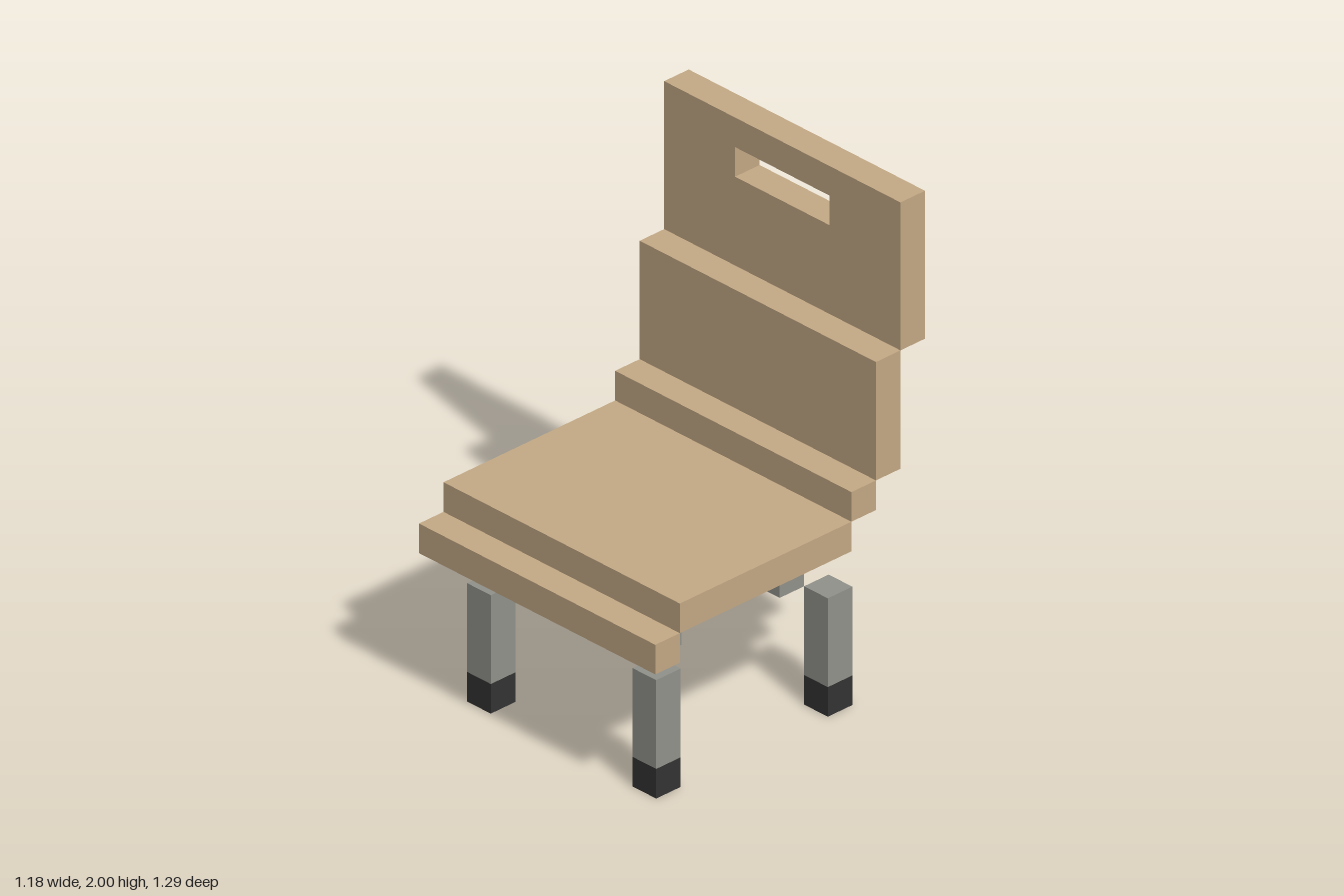
import * as THREE from 'three';

const U = 2 / 17; // one block: the chair is 17 blocks tall

const wood = new THREE.MeshStandardMaterial({ color: 0xc4a985 });
wood.name = 'wood';
const metal = new THREE.MeshStandardMaterial({ color: 0x92928b });
metal.name = 'greyMetal';
const rubber = new THREE.MeshStandardMaterial({ color: 0x333333 });
rubber.name = 'blackRubber';

// Box given by its lower and upper corners, in blocks
function block(parent, name, material, [x0, y0, z0], [x1, y1, z1]) {
  const geometry = new THREE.BoxGeometry((x1 - x0) * U, (y1 - y0) * U, (z1 - z0) * U);
  const mesh = new THREE.Mesh(geometry, material);
  mesh.position.set((x0 + x1) / 2 * U, (y0 + y1) / 2 * U, (z0 + z1) / 2 * U);
  mesh.name = name;
  parent.add(mesh);
}

function rectangle(Path, x0, y0, x1, y1) {
  const corners = [[x0, y0], [x1, y0], [x1, y1], [x0, y1]];
  return new Path(corners.map(([x, y]) => new THREE.Vector2(x * U, y * U)));
}

export function createModel() {
  const chair = new THREE.Group();
  chair.name = 'chair';

  // Seat and stepped backrest
  block(chair, 'seatFrontLip', wood, [-5, 5, 4.5], [5, 6, 5.5]);
  block(chair, 'seat', wood, [-5, 6, -2.5], [5, 7, 4.5]);
  block(chair, 'backrestFoot', wood, [-5, 7, -3.5], [5, 8, -2.5]);
  block(chair, 'lowerBackrest', wood, [-5, 8, -4.5], [5, 12, -3.5]);

  // Upper backrest with a hand slot
  const panel = rectangle(THREE.Shape, -5, 12, 5, 17);
  panel.holes.push(rectangle(THREE.Path, -2, 15, 2, 16));
  const upper = new THREE.Mesh(
    new THREE.ExtrudeGeometry(panel, { depth: U, bevelEnabled: false }), wood);
  upper.position.z = -5.5 * U;
  upper.name = 'upperBackrest';
  chair.add(upper);

  // Hub under the seat, with four legs stepping out diagonally
  block(chair, 'hub', metal, [-1, 5, -0.5], [1, 6, 1.5]);
  for (const sx of [-1, 1]) {
    for (const sz of [-1, 1]) {
      const leg = new THREE.Group();
      leg.name = (sz > 0 ? 'front' : 'back') + (sx > 0 ? 'Left' : 'Right') + 'Leg';
      leg.position.z = 0.5 * U;
      const piece = (name, material, step, y0, y1) => {
        const x = sx * (step + 0.5), z = sz * (step + 0.5);
        block(leg, name, material, [x - 0.5, y0, z - 0.5], [x + 0.5, y1, z + 0.5]);
      };
      piece('innerStrut', metal, 1, 5, 6);
      piece('outerStrut', metal, 2, 4, 5);
      piece('legPost', metal, 3, 1, 4);
      piece('footCap', rubber, 3, 0, 1);
      chair.add(leg);
    }
  }
  return chair;
}
